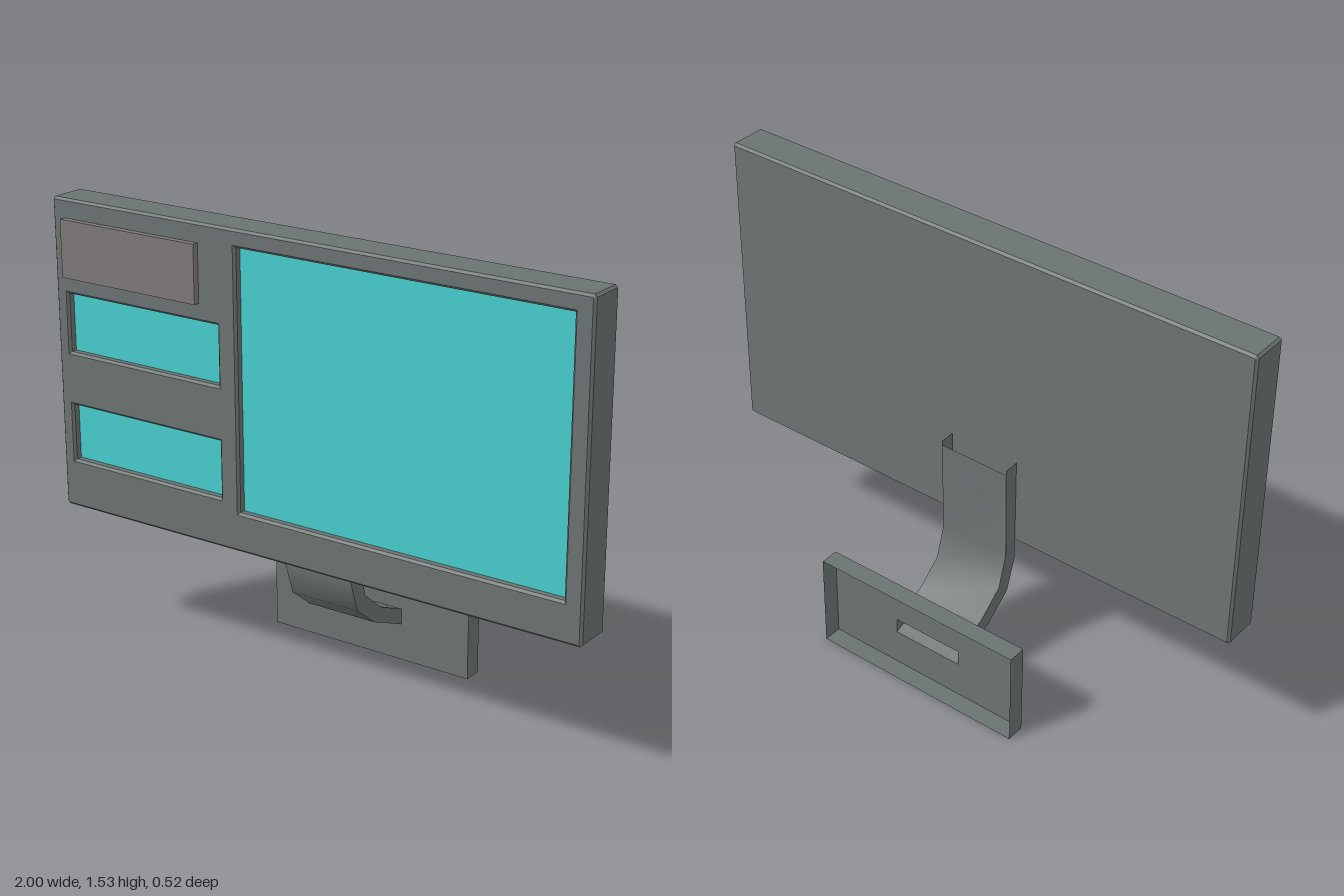
import * as THREE from 'three';

const dark = new THREE.MeshStandardMaterial({ color: 0x6b7371, side: THREE.DoubleSide });
const cyan = new THREE.MeshStandardMaterial({ color: 0x48cccd });
const grey = new THREE.MeshStandardMaterial({ color: 0x7d7979 });

// Rectangular outline, with corners cut by c
function rect(x0, x1, y0, y1, c = 0, Type = THREE.Shape) {
  const pts = c
    ? [[x0 + c, y0], [x1 - c, y0], [x1, y0 + c], [x1, y1 - c], [x1 - c, y1], [x0 + c, y1], [x0, y1 - c], [x0, y0 + c]]
    : [[x0, y0], [x1, y0], [x1, y1], [x0, y1]];
  return new Type(pts.map(([x, y]) => new THREE.Vector2(x, y)));
}

// Smooth strip between two rows of points
function strip(rowA, rowB) {
  const pos = [], index = [];
  rowA.forEach((a, i) => {
    pos.push(...a, ...rowB[i]);
    if (i) {
      const k = 2 * i;
      index.push(k - 2, k, k - 1, k - 1, k, k + 1);
    }
  });
  const g = new THREE.BufferGeometry();
  g.setAttribute('position', new THREE.Float32BufferAttribute(pos, 3));
  g.setIndex(index);
  g.computeVertexNormals();
  return g;
}

export function createModel() {
  const model = new THREE.Group();
  model.name = 'displayPanel';
  const add = (name, geometry, material, parent = model) => {
    const mesh = new THREE.Mesh(geometry, material);
    mesh.name = name;
    parent.add(mesh);
    return mesh;
  };

  // Housing with three recessed windows
  const windows = [
    ['mainScreen', -0.255, 0.935, 0.595, 1.47],
    ['upperSideScreen', -0.95, -0.33, 1.01, 1.21],
    ['lowerSideScreen', -0.95, -0.33, 0.63, 0.825],
  ];
  const outline = rect(-1, 1, 0.46, 1.53, 0.008);
  for (const [, ...r] of windows) outline.holes.push(rect(...r, 0, THREE.Path));
  const bevel = 0.008;
  const housing = new THREE.ExtrudeGeometry(outline, {
    depth: 0.135 - 2 * bevel, bevelThickness: bevel, bevelSize: bevel, bevelOffset: -bevel, bevelSegments: 1,
  });
  add('housing', housing.translate(0, 0, 0.105 + bevel), dark);

  // Flat back cover
  add('backCover', new THREE.ShapeGeometry(rect(-0.99, 0.99, 0.47, 1.52)).translate(0, 0, 0.104), dark);

  // Screens set into the windows
  for (const [name, x0, x1, y0, y1] of windows) {
    const g = new THREE.PlaneGeometry(x1 - x0, y1 - y0);
    add(name, g.translate((x0 + x1) / 2, (y0 + y1) / 2, 0.212), cyan);
  }

  // Raised plate at the upper corner
  add('raisedPlate', new THREE.BoxGeometry(0.55, 0.195, 0.024), grey).position.set(-0.675, 1.3675, 0.25);

  // Hollow bent arm, open at both ends; points are [z, y]
  const arm = new THREE.Group();
  arm.name = 'arm';
  model.add(arm);
  const front = [[0.103, 0.78], [0.103, 0.39], [0.065, 0.275], [-0.03, 0.2], [-0.195, 0.13]];
  const back = [[0.047, 0.78], [0.055, 0.43], [0.02, 0.315], [-0.07, 0.24], [-0.195, 0.185]];
  const backSheet = [[0.047, 0.765], ...back.slice(1)];
  const left = 0.085, right = -0.175;
  const row = (pts, x) => pts.map(([z, y]) => [x, y, z]);
  add('armFront', strip(row(front, right), row(front, left)), dark, arm);
  add('armBack', strip(row(backSheet, left), row(backSheet, right)), dark, arm);
  add('armLeftSide', strip(row(front, left), row(back, left)), dark, arm);
  add('armRightSide', strip(row(back, right), row(front, right)), dark, arm);

  // Wall plate: a shallow tray open at the back, with a slot where the arm joins
  const tray = new THREE.Group();
  tray.name = 'wallPlate';
  model.add(tray);
  const [x0, x1, y0, y1, zf, zb] = [-0.437, 0.347, 0, 0.342, -0.195, -0.26];
  const face = rect(x0, x1, y0, y1);
  face.holes.push(rect(right, left, 0.13, 0.185, 0, THREE.Path));
  add('wallPlateFace', new THREE.ShapeGeometry(face).translate(0, 0, zf), dark, tray);
  const corners = [[x0, y0], [x1, y0], [x1, y1], [x0, y1]];
  corners.forEach((a, i) => {
    const b = corners[(i + 1) % 4];
    add('wallPlateRim', strip([[...a, zb], [...a, zf]], [[...b, zb], [...b, zf]]), dark, tray);
  });

  return model;
}
